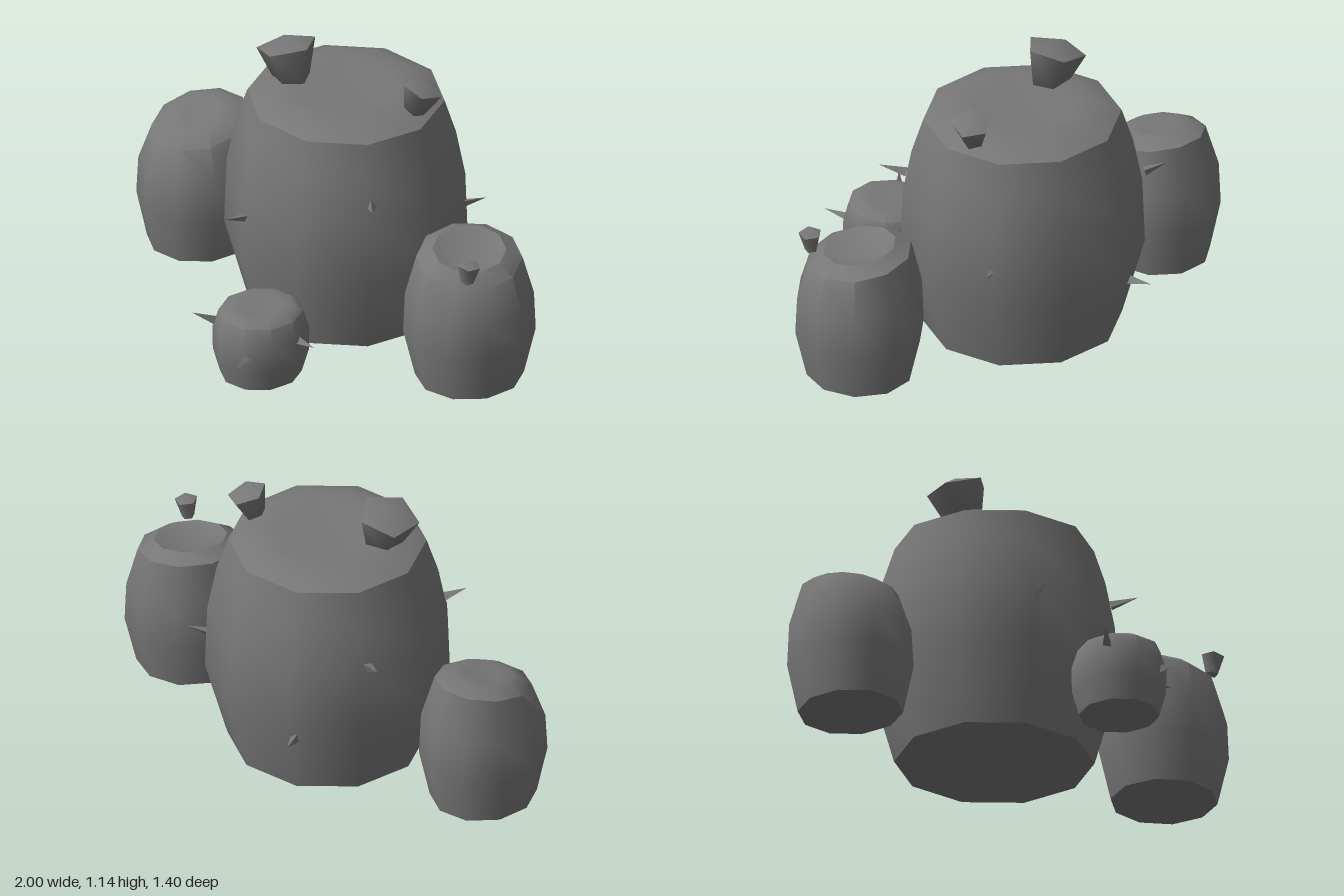
import * as THREE from 'three';
import { toCreasedNormals } from 'three/addons/utils/BufferGeometryUtils.js';

const UP = new THREE.Vector3(0, 1, 0);
const smooth = new THREE.MeshStandardMaterial({ color: 0x777777 });
const faceted = new THREE.MeshStandardMaterial({ color: 0x777777, flatShading: true });

// Lathe with its first corner at the given angle in the xz plane (0 = +x, 90 = +z)
function lathe(profile, sides, angle) {
  const points = profile.map(([r, y]) => new THREE.Vector2(r, y));
  return new THREE.LatheGeometry(points, sides, THREE.MathUtils.degToRad(90 - angle), Math.PI * 2);
}

function add(group, name, geometry, material, position) {
  const mesh = new THREE.Mesh(geometry, material);
  mesh.name = name;
  mesh.position.set(...position);
  group.add(mesh);
  return mesh;
}

// Ten-sided barrel stem, slightly oval, whose crown slopes by [dy/dx, dy/dz]
function stem(group, { name, x, z, depth, angle, slope, profile }) {
  const geometry = lathe([[0, 0], ...profile], 10, angle).scale(1, 1, depth);
  const p = geometry.attributes.position;
  const height = Math.max(...profile.map(([, y]) => y));
  for (let i = 0; i < p.count; i++) {
    const weight = Math.max(0, Math.min(1, p.getY(i) / height * 2.5 - 1.25));
    p.setY(i, p.getY(i) + weight * (slope[0] * p.getX(i) + slope[1] * p.getZ(i)));
  }
  add(group, name, toCreasedNormals(geometry, 0.77), smooth, [x, 0, z]);
}

// Five-sided flower with a low pointed cap, flaring upward along a leaning axis
function flower(group, { base, lean, r0, r1, h, angle }) {
  const geometry = lathe([[0, 0], [r0, 0], [r1, h], [0, h + r1 * 0.35]], 5, angle);
  const mesh = add(group, 'flower', toCreasedNormals(geometry, 1.3), smooth, base);
  mesh.quaternion.setFromUnitVectors(UP, new THREE.Vector3(...lean).normalize());
}

// Slim three-sided thorn from its root to its tip
function thorn(group, root, tip) {
  const dir = new THREE.Vector3(...tip).sub(new THREE.Vector3(...root));
  const length = dir.length();
  const geometry = new THREE.ConeGeometry(0.022, length, 3).translate(0, length / 2, 0);
  add(group, 'thorn', geometry, faceted, root).quaternion.setFromUnitVectors(UP, dir.normalize());
}

export function createModel() {
  const model = new THREE.Group();
  model.name = 'cactusCluster';

  // Stems: outline from the foot to the softly dipped crown
  [
    { name: 'largeStem', x: -0.022, z: -0.185, depth: 0.985, angle: -7, slope: [0, 0],
      profile: [[0.4, 0], [0.49, 0.32], [0.48, 0.6], [0.443, 0.79], [0.397, 0.93], [0.295, 0.977], [0.2, 0.97], [0, 0.967]] },
    { name: 'leftStem', x: 0.745, z: -0.165, depth: 1.03, angle: -14, slope: [-0.15, -0.08],
      profile: [[0.213, 0], [0.259, 0.2], [0.252, 0.37], [0.208, 0.535], [0.145, 0.573], [0.1, 0.558], [0, 0.553]] },
    { name: 'rightStem', x: -0.755, z: -0.06, depth: 1.06, angle: -9, slope: [-0.02, -0.2],
      profile: [[0.207, 0], [0.248, 0.2], [0.24, 0.37], [0.188, 0.535], [0.12, 0.573], [0.07, 0.568], [0, 0.566]] },
    { name: 'smallStem', x: 0.185, z: 0.445, depth: 1.06, angle: -10, slope: [0, 0],
      profile: [[0.158, 0], [0.185, 0.1], [0.187, 0.2], [0.163, 0.28], [0.125, 0.303], [0.08, 0.299], [0, 0.297]] },
  ].forEach((s) => stem(model, s));

  // Flowers on the crowns
  [
    { base: [-0.215, 0.95, -0.075], lean: [-0.26, 1, 0], r0: 0.07, r1: 0.125, h: 0.155, angle: 0 },
    { base: [0.277, 0.953, -0.282], lean: [0.25, 1, -0.22], r0: 0.042, r1: 0.082, h: 0.115, angle: -100 },
    { base: [0.885, 0.535, -0.03], lean: [0.1, 1, -0.05], r0: 0.026, r1: 0.047, h: 0.08, angle: -100 },
  ].forEach((f) => flower(model, f));

  // Thorns on the large stem, then on the small one
  [
    [[-0.25, 0.295, -0.61], [-0.29, 0.31, -0.7]],
    [[-0.455, 0.635, -0.41], [-0.54, 0.665, -0.445]],
    [[0.32, 0.465, -0.48], [0.4, 0.5, -0.555]],
    [[0.385, 0.69, 0.035], [0.47, 0.72, 0.105]],
    [[-0.1, 0.51, 0.265], [-0.11, 0.535, 0.378]],
    [[0.35, 0.19, 0.4], [0.455, 0.205, 0.4]],
    [[0.06, 0.23, 0.575], [0.005, 0.265, 0.65]],
    [[0.275, 0.155, 0.595], [0.33, 0.17, 0.7]],
  ].forEach(([root, tip]) => thorn(model, root, tip));

  return model;
}
